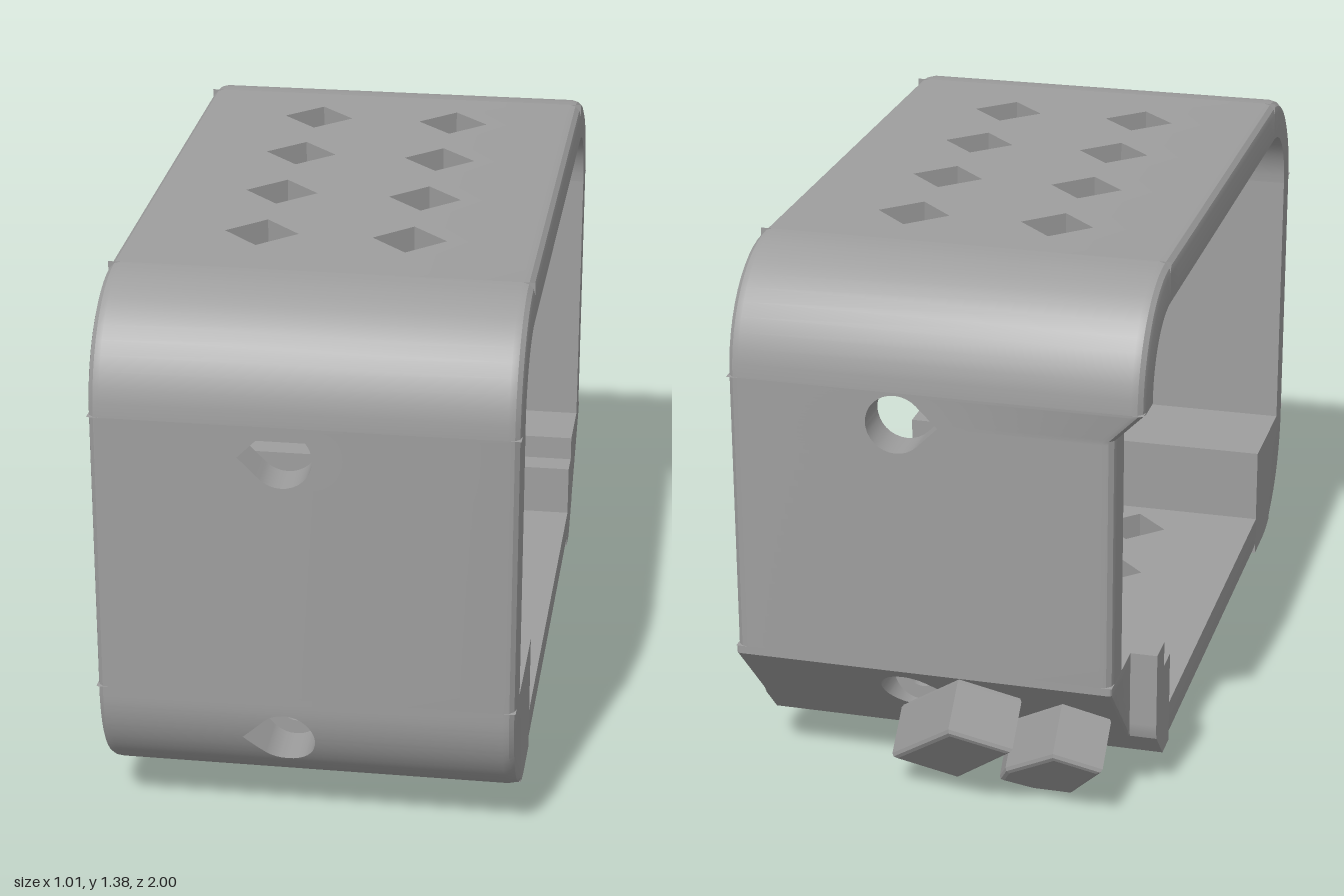
import * as THREE from 'three';
import { toCreasedNormals } from 'three/addons/utils/BufferGeometryUtils.js';

const W = 0.505;      // half width of the frame
const BEVEL = 0.03;   // rounding of the outer rim
const grey = new THREE.MeshStandardMaterial({ color: 0x9e9e9e, side: THREE.DoubleSide });
grey.name = 'matte grey';

// Hole outlines: left and right x at a distance d from the centre
const teardrop = (x, c, r) => ({ c, r, at(d) {
  const a = Math.abs(d);
  if (a >= r) return [x, x];
  const h = Math.sqrt(r * r - d * d);
  return [x - (a < r * Math.SQRT1_2 ? r * Math.SQRT2 - a : h), x + h];
} });
const round = (x, c, r) => ({ c, r, at(d) {
  const h = Math.sqrt(Math.max(0, r * r - d * d));
  return [x - h, x + h];
} });
const diamond = (x, c, r) => ({ c, r, at(d) {
  const h = Math.max(0, r - Math.abs(d));
  return [x - h, x + h];
} });

// Sample positions from a to b, including every hole's outline
function samples(a, b, holes = [], extra = [], n = 16) {
  const set = [...extra];
  for (let i = 0; i <= n; i++) set.push(a + (b - a) * i / n);
  for (const h of holes)
    for (let i = 0; i <= 16; i++) set.push(h.c - h.r * Math.cos(Math.PI * i / 16));
  set.sort((p, q) => (p - q) * Math.sign(b - a));
  return set.filter((v, i) => i === 0 || Math.abs(v - set[i - 1]) > 1e-5);
}

// Wall section between rows of outer and inner [z, y] points; each row lists its hole edges
function slab(name, rows, bevel = BEVEL) {
  const pos = [];
  const tri = (a, b, c) => {
    const u = b.clone().sub(a), v = c.clone().sub(a);
    if (u.cross(v).length() > 1e-9) for (const p of [a, b, c]) pos.push(p.x, p.y, p.z);
  };
  const quad = (a, b, c, d) => { tri(a, b, c); tri(a, c, d); };
  const P = (x, q) => new THREE.Vector3(x, q[1], q[0]);
  const rim = (r, s) => {
    const end = s > 0 ? W : r.lo ?? -W;
    const len = Math.hypot(r.o[0] - r.i[0], r.o[1] - r.i[1]);
    const pts = [0, 1, 2, 3].map(k => {
      const t = k / 3 * Math.PI / 2;
      const f = len > 1e-6 ? Math.min(1, bevel * (1 - Math.cos(t)) / len) : 0;
      return P(end - s * bevel * (1 - Math.sin(t)),
        [r.o[0] + (r.i[0] - r.o[0]) * f, r.o[1] + (r.i[1] - r.o[1]) * f]);
    });
    return [...pts, P(end, r.i)];
  };
  const xs = (r, out) => {
    const b = out ? bevel : 0;
    return [(r.lo ?? -W) + b, ...(r.x ?? []), W - b];
  };
  for (let k = 0; k < rows.length - 1; k++) {
    const a = rows[k], b = rows[k + 1];
    const ao = xs(a, true), bo = xs(b, true), ai = xs(a), bi = xs(b);
    for (let j = 0; j < ao.length; j += 2) {
      quad(P(ao[j], a.o), P(ao[j + 1], a.o), P(bo[j + 1], b.o), P(bo[j], b.o));
      quad(P(ai[j + 1], a.i), P(ai[j], a.i), P(bi[j], b.i), P(bi[j + 1], b.i));
    }
    // Hole walls
    for (let j = 1; j < ao.length - 1; j++) {
      const q = [P(ao[j], a.o), P(ai[j], a.i), P(bi[j], b.i), P(bo[j], b.o)];
      if (Math.abs(ao[j] - ao[j % 2 ? j + 1 : j - 1]) + Math.abs(bo[j] - bo[j % 2 ? j + 1 : j - 1]) > 1e-6)
        quad(...(j % 2 ? q : q.reverse()));
    }
    // Rounded rims
    for (const s of [-1, 1]) {
      const ra = rim(a, s), rb = rim(b, s);
      for (let j = 0; j < ra.length - 1; j++) {
        const q = [ra[j], ra[j + 1], rb[j + 1], rb[j]];
        quad(...(s > 0 ? q : q.reverse()));
      }
    }
  }
  // End faces
  const f = rows[0], l = rows[rows.length - 1];
  quad(P(f.lo ?? -W, f.i), P(W, f.i), P(W, f.o), P(f.lo ?? -W, f.o));
  quad(P(l.lo ?? -W, l.o), P(W, l.o), P(W, l.i), P(l.lo ?? -W, l.i));
  const geo = new THREE.BufferGeometry();
  geo.setAttribute('position', new THREE.Float32BufferAttribute(pos, 3));
  const mesh = new THREE.Mesh(toCreasedNormals(geo, 0.5), grey);
  mesh.name = name;
  return mesh;
}

// Upright wall: outer and inner depth as functions of y
const upright = (name, ys, hole, zo, zi, lo, bevel) => slab(name, ys.map(y => ({
  o: [zo(y), y], i: [zi(y), y], x: hole ? hole.at(y - hole.c) : [], lo: lo?.(y),
})), bevel);

// Quarter-round corner, from angle a0 through 90 degrees
const corner = (name, z, y, a0) => slab(name, Array.from({ length: 13 }, (_, k) => {
  const t = a0 + k / 12 * Math.PI / 2, c = Math.cos(t), s = Math.sin(t);
  return { o: [z + 0.28 * c, y + 0.28 * s], i: [z + 0.18 * c, y + 0.18 * s] };
}));

// Level plate with two rows of four diamond vents
function ventPlate(name, z0, z1, yo, yi) {
  const centres = [-0.42, -0.12, 0.18, 0.475];
  const all = centres.map(c => diamond(0, c, 0.09));
  return slab(name, samples(z0, z1, all).map(z => {
    const h = Math.max(0, ...centres.map(c => 0.09 - Math.abs(z - c)));
    return { o: [z, yo], i: [z, yi], x: [-0.18 - h, -0.18 + h, 0.18 - h, 0.18 + h] };
  }));
}

export function createModel() {
  const g = new THREE.Group();
  g.name = 'ventilatedFrame';

  // Front: rounded lower block with a counterbored hole, then the wall
  const frontArc = y => y >= 0.375 ? 1 : 0.72 + Math.sqrt(Math.max(0, 0.0784 - (0.375 - y) ** 2));
  const frontLedge = y => Math.min(0.82, frontArc(y));
  const arcYs = Array.from({ length: 15 }, (_, k) => 0.375 - 0.28 * Math.cos(k / 14 * Math.PI / 2));
  const bore = teardrop(-0.05, 0.28, 0.073), pin = round(-0.05, 0.28, 0.037);
  g.add(upright('frontLowerCorner', samples(0.095, 0.4, [bore], arcYs), bore, frontArc, frontLedge));
  g.add(upright('frontLowerBlock', samples(0.095, 0.4, [pin], arcYs), pin, frontLedge, () => 0.61, null, 0));
  const frontHole = teardrop(-0.05, 1.025, 0.073);
  g.add(upright('frontWall', samples(0.4, 1.105, [frontHole]), frontHole, () => 1, () => 0.9));

  // Top and its rounded corners
  g.add(corner('frontTopCorner', 0.72, 1.105, 0));
  g.add(ventPlate('topPlate', 0.72, -0.62, 1.385, 1.285));
  g.add(corner('backTopCorner', -0.62, 1.105, Math.PI / 2));

  // Back wall, slightly narrowed on one side below a sloped shoulder
  const backHole = teardrop(0.09, 1.025, 0.073);
  const shoulder = y => -W + Math.min(0.067, Math.max(0, 1.1 - y));
  g.add(upright('backWall', samples(1.105, 0.4, [backHole], [1.1, 1.033]), backHole,
    () => -0.9, () => -0.8, shoulder));

  // Back lower block: sloped outside, stepped inside
  const slope = y => -0.9 + Math.max(0, 0.38 - y) * 0.28 / 0.285;
  const backLedge = y => Math.max(-0.7, slope(y));
  const backBore = teardrop(0.09, 0.28, 0.073), backPin = round(0.09, 0.28, 0.037);
  g.add(upright('backSlope', samples(0.4, 0.095, [backBore], [0.38]), backBore, slope, backLedge,
    () => -0.438, 0.01));
  g.add(upright('backStep', samples(0.4, 0.095, [backPin], [0.3351, 0.335]), backPin, backLedge,
    y => y > 0.33505 ? -0.62 : -0.55, null, 0));

  // Floor
  g.add(ventPlate('floorPlate', -0.55, 0.61, 0.095, 0.2));

  // Two tilted catches standing out from the slope
  const catches = {
    largeCatch: [[-0.01, 0.02], [0.14, 0.133], [-0.06, 0.4], [-0.2, 0.3]],
    smallCatch: [[-0.3, 0.007], [-0.2, 0.007], [-0.12, 0.05], [-0.15, 0.13], [-0.3, 0.3], [-0.41, 0.22]],
  };
  for (const [name, pts] of Object.entries(catches)) {
    const shape = new THREE.Shape(pts.map(p => new THREE.Vector2(...p)));
    const geo = new THREE.ExtrudeGeometry(shape, {
      depth: 0.12, bevelThickness: 0.012, bevelSize: 0.012, bevelOffset: -0.012, bevelSegments: 2,
    });
    geo.translate(0, 0, 0.012).rotateX(-Math.PI / 4).translate(0, 0, -0.72);
    const mesh = new THREE.Mesh(geo, grey);
    mesh.name = name;
    g.add(mesh);
  }
  return g;
}
